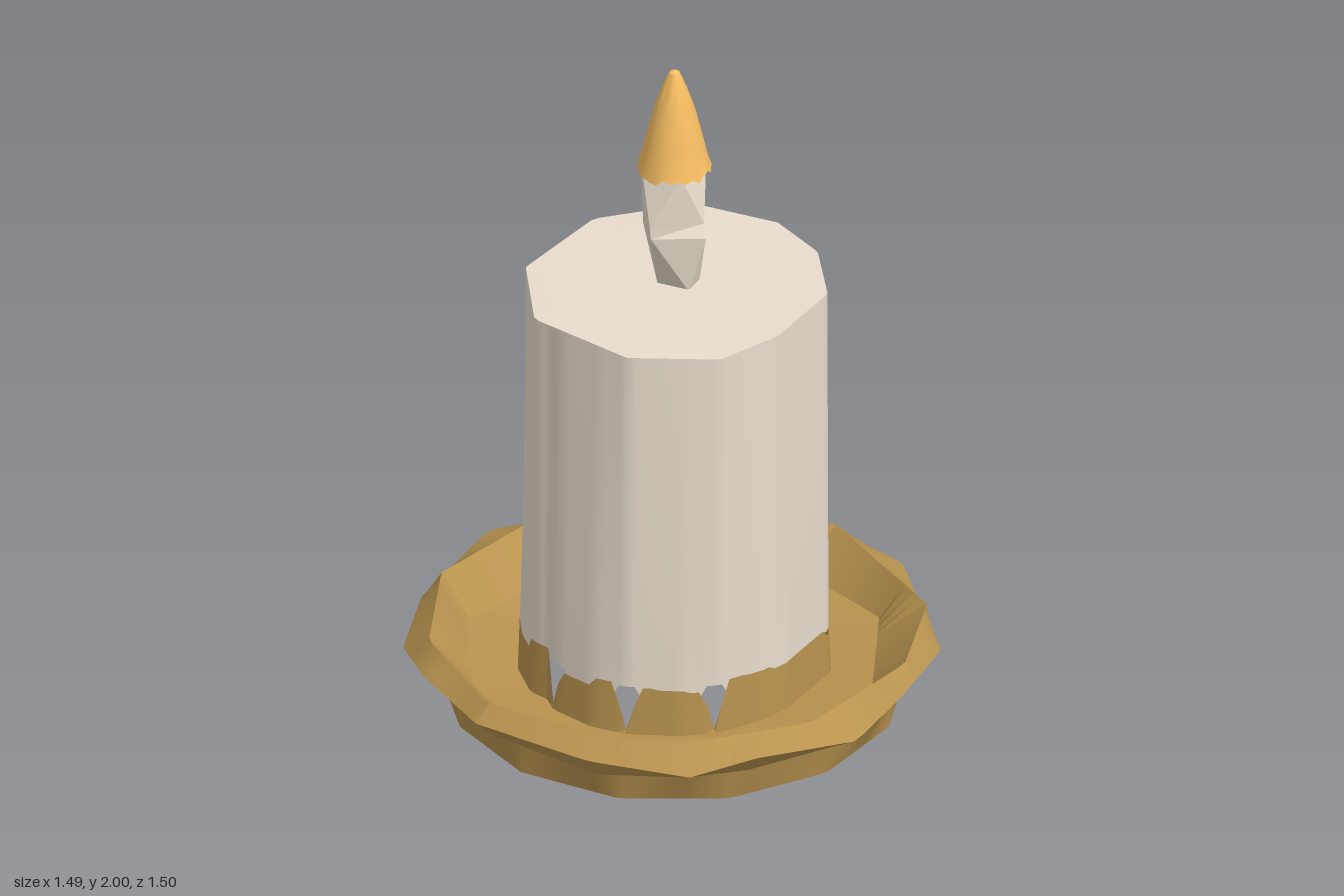
import * as THREE from 'three';
import { toCreasedNormals } from 'three/addons/utils/BufferGeometryUtils.js';

const TAU = Math.PI * 2;

// Colours
const mat = (color, flatShading = false) => new THREE.MeshStandardMaterial({ color, flatShading, side: THREE.DoubleSide });
const GOLD = 0xb8934f, FLAME = 0xf6bd62, WAX = 0xe8dccd;

// Small repeatable noise in 0..1
const noise = (i, k = 1) => { const s = Math.sin(i * 12.9898 + k * 78.233) * 43758.5453; return s - Math.floor(s); };

// Cut an irregular polygon ring of [x, z, y] corners at n even angles
function cutRing(corners, n, y) {
  const pts = corners.map(([x, z, h = y]) => ({ x, z, h, a: (Math.atan2(x, z) + TAU) % TAU })).sort((p, q) => p.a - q.a);
  return Array.from({ length: n }, (_, j) => {
    const a = (j / n) * TAU, dx = Math.sin(a), dz = Math.cos(a);
    const k = Math.max(0, pts.findIndex((p) => p.a > a));
    const p = pts[(k + pts.length - 1) % pts.length], q = pts[k];
    const cp = dx * p.z - dz * p.x, cq = dx * q.z - dz * q.x;
    const t = cp / (cp - cq);
    return [p.x + (q.x - p.x) * t, p.h + (q.h - p.h) * t, p.z + (q.z - p.z) * t];
  });
}

// Copy of a ring, scaled sideways, with heights from a rule of the index
const reshape = (ring, s, rule) => ring.map(([x, , z], j) => [x * s, rule(j), z * s]);

// Round ring of n points
const circle = (r, n, y) => Array.from({ length: n }, (_, j) => [Math.sin((j / n) * TAU) * r, y, Math.cos((j / n) * TAU) * r]);

// Corners of a regular polygon
const polygon = (r, n) => circle(r, n, 0).map(([x, , z]) => [x, z]);

// Skin a list of rings that all have the same number of points
function skin(rings, crease) {
  const n = rings[0].length, index = [];
  for (let i = 0; i < rings.length - 1; i++) {
    for (let j = 0; j < n; j++) {
      const a = i * n + j, b = i * n + (j + 1) % n;
      index.push(a, b, b + n, a, b + n, a + n);
    }
  }
  const g = new THREE.BufferGeometry();
  g.setAttribute('position', new THREE.Float32BufferAttribute(rings.flat(2), 3));
  g.setIndex(index);
  return toCreasedNormals(g, crease);
}

function add(group, name, geometry, material) {
  const mesh = new THREE.Mesh(geometry, material);
  mesh.name = name;
  group.add(mesh);
}

export function createModel() {
  const model = new THREE.Group();
  model.name = 'candleOnDish';
  const N = 120;

  // Candle outline at its foot and its top
  const candleFoot = [
    [0.2, -0.385], [0.02, -0.435], [-0.24, -0.355], [-0.4, -0.14], [-0.42, 0.04], [-0.365, 0.23], [-0.28, 0.335], [-0.17, 0.405],
    [-0.11, 0.405], [-0.06, 0.435], [0.08, 0.435], [0.18, 0.4], [0.3, 0.31], [0.37, 0.215], [0.41, 0.09], [0.418, 0.0], [0.375, -0.23],
  ];
  const candleTop = [
    [0.19, -0.39, 1.31], [0, -0.435], [-0.24, -0.35, 1.315], [-0.41, -0.12, 1.3], [-0.37, 0.21, 1.305], [-0.15, 0.42, 1.315],
    [0.18, 0.4], [0.37, 0.22, 1.3], [0.415, 0.03], [0.37, -0.23, 1.315],
  ];
  const wall = cutRing(candleFoot, N, 0.28);

  // Small gaps where the wax has pulled away from the collar
  const notches = [-10, 25, 56, 186].map((d) => Math.round((d + 360) / 360 * N) % N);
  const nearNotch = (j) => notches.some((k) => Math.abs(k - j) < 2);

  // Dish: hollow foot, hand-cut rim, sunken floor and a ragged collar
  const outer = [
    [-0.02, -0.755, 0.14], [0.22, -0.71, 0.17], [0.6, -0.45, 0.15], [0.745, -0.12, 0.2], [0.745, 0.07, 0.14],
    [0.645, 0.375, 0.18], [0.53, 0.53, 0.14], [0.29, 0.69, 0.17], [-0.08, 0.745, 0.17], [-0.36, 0.65, 0.17],
    [-0.545, 0.53, 0.14], [-0.68, 0.3, 0.15], [-0.75, -0.06, 0.18], [-0.6, -0.41, 0.15], [-0.53, -0.51, 0.17], [-0.33, -0.65, 0.15],
  ];
  const rim = [
    [0, -0.68], [0.48, -0.525], [0.65, -0.24], [0.65, 0.15, 0.2], [0.52, 0.43], [0.35, 0.6],
    [-0.08, 0.7], [-0.43, 0.55], [-0.65, 0.25], [-0.65, -0.25], [-0.42, -0.525],
  ];
  const floor = [
    [-0.15, -0.58], [0.3, -0.525], [0.57, -0.19], [0.57, 0.2], [0.35, 0.49],
    [0, 0.6], [-0.28, 0.53], [-0.55, 0.26], [-0.5, -0.32],
  ];
  const waist = outer.map(([x, z], k) => [x * 0.895, z * 0.895, 0.08 + 0.02 * noise(k, 3)]);
  const collarFoot = reshape(wall, 1.015, () => 0.09);
  add(model, 'dish', skin([
    collarFoot, cutRing(polygon(0.5, 10), N, 0), cutRing(polygon(0.645, 13), N, 0), cutRing(waist, N), cutRing(outer, N),
    cutRing(rim, N, 0.218), cutRing(floor, N, 0.105), collarFoot,
    reshape(wall, 1.003, (j) => (nearNotch(j) ? (notches.includes(j) ? 0.1 : 0.18) : 0.21 + 0.05 * noise(Math.floor(j / 4)))),
  ], 0.35), mat(GOLD));

  // Candle: faceted top, rounder ragged open bottom
  const ragged = reshape(wall, 1, (j) => (nearNotch(j) ? 0.24 : 0.19 + 0.04 * noise(Math.floor(j / 4), 5)));
  add(model, 'candle', skin([ragged, wall, cutRing(candleTop, N, 1.31), circle(0, N, 1.308)], 0.9), mat(WAX));

  // Wick: crooked four-sided stub, pinched at the foot, overhanging at the back
  const wick = [
    [[0.055, 1.3, 0], [0.04, 1.3, -0.06], [-0.03, 1.3, -0.05], [-0.035, 1.3, 0.03]],
    [[0.01, 1.5, 0.11], [0.1, 1.48, -0.02], [0, 1.49, -0.04], [-0.09, 1.48, 0.03]],
    [[0.01, 1.53, 0.113], [0.085, 1.52, -0.03], [0, 1.53, -0.097], [-0.092, 1.52, 0.03]],
    [[-0.09, 1.69, 0.04], [0.06, 1.69, 0.04], [0.04, 1.7, -0.09], [-0.08, 1.7, -0.08]],
    Array(4).fill([-0.01, 1.71, -0.02]),
  ];
  add(model, 'wick', skin(wick, 0.05), mat(WAX, true));

  // Flame: slim pointed cone with a ragged open hem
  const F = 30;
  const profile = [[0.097, 1.71], [0.081, 1.78], [0.058, 1.875], [0.036, 1.94], [0.015, 1.992], [0, 2]];
  const hem = reshape(circle(0.104, F, 0), 1, (j) => 1.675 + 0.022 * noise(j, 7));
  add(model, 'flame', skin([hem, ...profile.map(([r, y]) => circle(r, F, y))], 0.7), mat(FLAME));

  return model;
}
